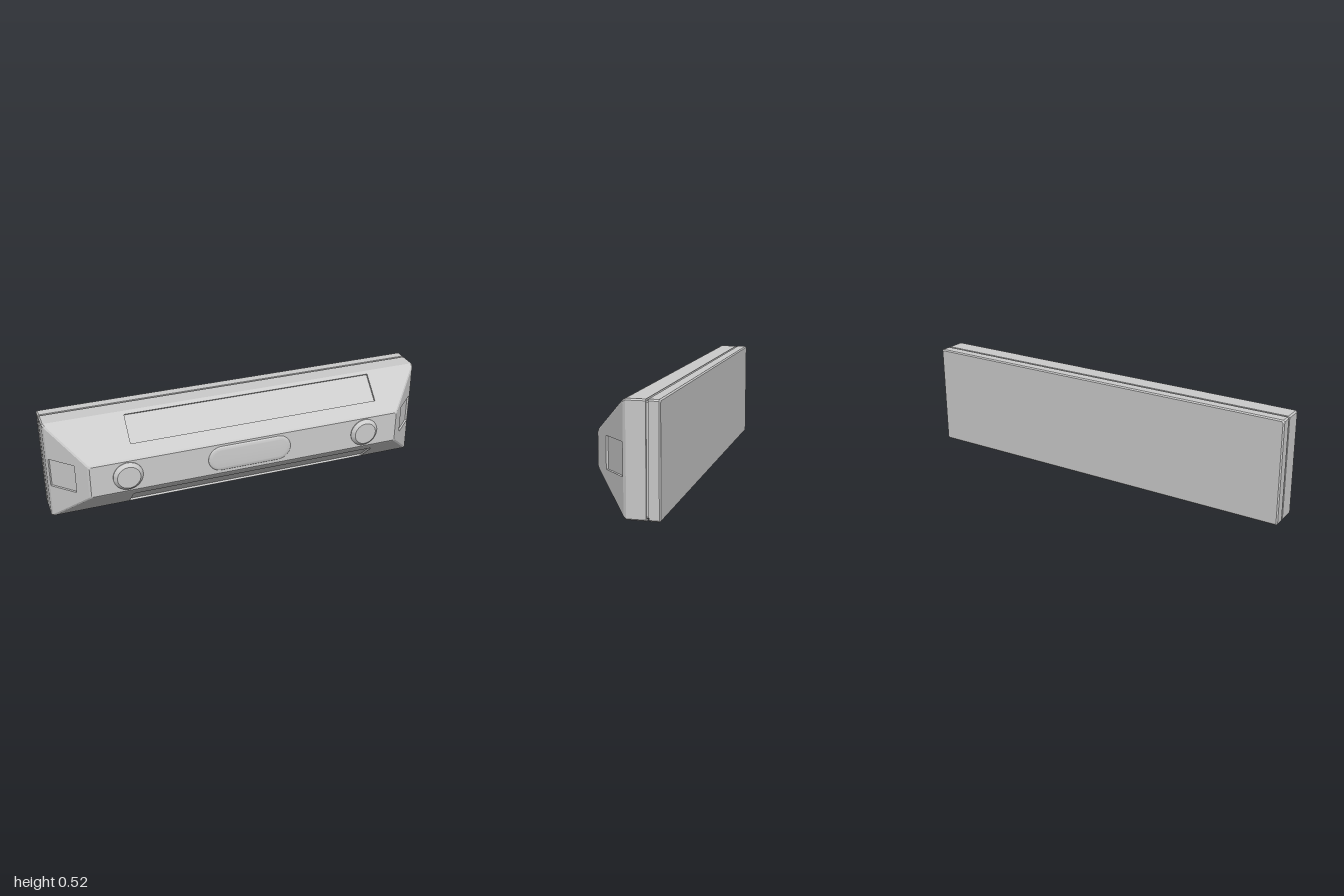
import * as THREE from 'three';
import { toCreasedNormals } from 'three/addons/utils/BufferGeometryUtils.js';

const MID = 0.2615;          // height of the centre line
const CORNER = 0.007;        // chamfer along the corner edges
const BACK = { hx: 0.993, hy: 0.2545, z: -0.012 };  // wide end of the slopes
const RUN = 0.162;           // 45 degree slope: same run inward and forward
const RECESS = 0.011;

export function createModel() {
  const root = new THREE.Group();
  const mat = new THREE.MeshStandardMaterial({ color: 0xcccccc });

  function add(name, geo, parent = root) {
    const mesh = new THREE.Mesh(geo, mat);
    mesh.name = name;
    parent.add(mesh);
    return mesh;
  }

  // Chamfered rectangle, counter-clockwise seen from the front
  function ring([hx, hy, z]) {
    const c = CORNER;
    return [[hx, -hy + c], [hx, hy - c], [hx - c, hy], [-hx + c, hy],
      [-hx, hy - c], [-hx, -hy + c], [-hx + c, -hy], [hx - c, -hy]]
      .map(([x, y]) => [x, y + MID, z]);
  }

  // Skin over sections from back to front; on the open segment only the corners are filled
  function loft(sections, openSegment = -1) {
    const rings = sections.map(ring);
    const pos = [];
    const tri = (a, b, c) => pos.push(...a, ...b, ...c);
    for (let s = 0; s < rings.length - 1; s++) {
      for (let i = 0; i < 8; i++) {
        if (s === openSegment && i % 2 === 0) continue;
        const j = (i + 1) % 8, a = rings[s], b = rings[s + 1];
        tri(a[i], a[j], b[j]);
        tri(a[i], b[j], b[i]);
      }
    }
    const first = rings[0], last = rings[rings.length - 1];
    for (let i = 1; i < 7; i++) {
      tri(first[0], first[i + 1], first[i]);
      tri(last[0], last[i], last[i + 1]);
    }
    const geo = new THREE.BufferGeometry();
    geo.setAttribute('position', new THREE.Float32BufferAttribute(pos, 3));
    geo.computeVertexNormals();
    return geo;
  }

  // Back plate, shadow groove and front shell
  add('backPlate', loft([[0.994, 0.2555, -0.177], [1, 0.2615, -0.171], [1, 0.2615, -0.125]]));
  add('grooveCore', loft([[0.992, 0.2535, -0.13], [0.992, 0.2535, -0.108]]));
  add('frontShell', loft([
    [1, 0.2615, -0.114],
    [1, 0.2615, -0.026],
    [BACK.hx, BACK.hy, BACK.z],
    [BACK.hx - RUN, BACK.hy - RUN, BACK.z + RUN],
    [BACK.hx - RUN - 0.01, BACK.hy - RUN - 0.01, BACK.z + RUN + 0.007],
  ], 2));

  // Sloped face with a recessed rectangular panel; u0..u1 is the panel's span
  function slope(name, ox, oy, u0, u1) {
    const out = new THREE.Vector3(ox, oy, 0), fwd = new THREE.Vector3(0, 0, 1);
    const half = (ox ? BACK.hy : BACK.hx) - CORNER;
    const len = RUN * Math.SQRT2, v0 = -0.157, v1 = -0.006;
    const face = new THREE.Shape([[-half, 0], [-half + RUN, -len], [half - RUN, -len], [half, 0]]
      .map(p => new THREE.Vector2(...p)));
    face.holes.push(new THREE.Path([[u0, v0], [u0, v1], [u1, v1], [u1, v0]]
      .map(p => new THREE.Vector2(...p))));

    const group = new THREE.Group();
    group.name = name;
    const skin = new THREE.ExtrudeGeometry(face, { depth: RECESS, bevelEnabled: false });
    add(name + 'Face', skin.translate(0, 0, -RECESS), group);
    const floor = new THREE.PlaneGeometry(u1 - u0, v1 - v0);
    add(name + 'Panel', floor.translate((u0 + u1) / 2, (v0 + v1) / 2, -RECESS + 0.0005), group);

    const u = out.clone().cross(fwd);
    const v = out.clone().sub(fwd).normalize();
    const n = out.clone().add(fwd).normalize();
    const p = out.clone().multiplyScalar(ox ? BACK.hx : BACK.hy);
    group.applyMatrix4(new THREE.Matrix4().makeBasis(u, v, n).setPosition(p.x, p.y + MID, BACK.z));
    root.add(group);
  }
  slope('topSlope', 0, 1, -0.6, 0.72);
  slope('bottomSlope', 0, -1, -0.72, 0.6);
  slope('leftSlope', 1, 0, -0.0755, 0.0755);
  slope('rightSlope', -1, 0, -0.0755, 0.0755);

  // Round tapered buttons
  const profile = [[0.075, -0.005], [0.075, 0.004], [0.072, 0.008], [0.058, 0.0205], [0, 0.0205]]
    .map(p => new THREE.Vector2(...p));
  for (const side of [1, -1]) {
    const geo = toCreasedNormals(new THREE.LatheGeometry(profile, 48), 0.5);
    const button = add(side > 0 ? 'leftButton' : 'rightButton', geo.rotateX(Math.PI / 2));
    button.position.set(side * 0.635, MID + 0.002, 0.157);
  }

  // Raised oblong pad with a softly rounded rim
  const pad = new THREE.Shape();
  const r = 0.047, hx = 0.2 - r;
  pad.absarc(hx, 0, r, -Math.PI / 2, Math.PI / 2);
  pad.absarc(-hx, 0, r, Math.PI / 2, Math.PI * 1.5);
  const padGeo = new THREE.ExtrudeGeometry(pad, {
    depth: 0.004, curveSegments: 20, bevelSize: 0.021, bevelThickness: 0.008, bevelSegments: 5,
  });
  add('centrePad', toCreasedNormals(padGeo, 0.6)).position.set(-0.003, MID + 0.003, 0.153);

  return root;
}
